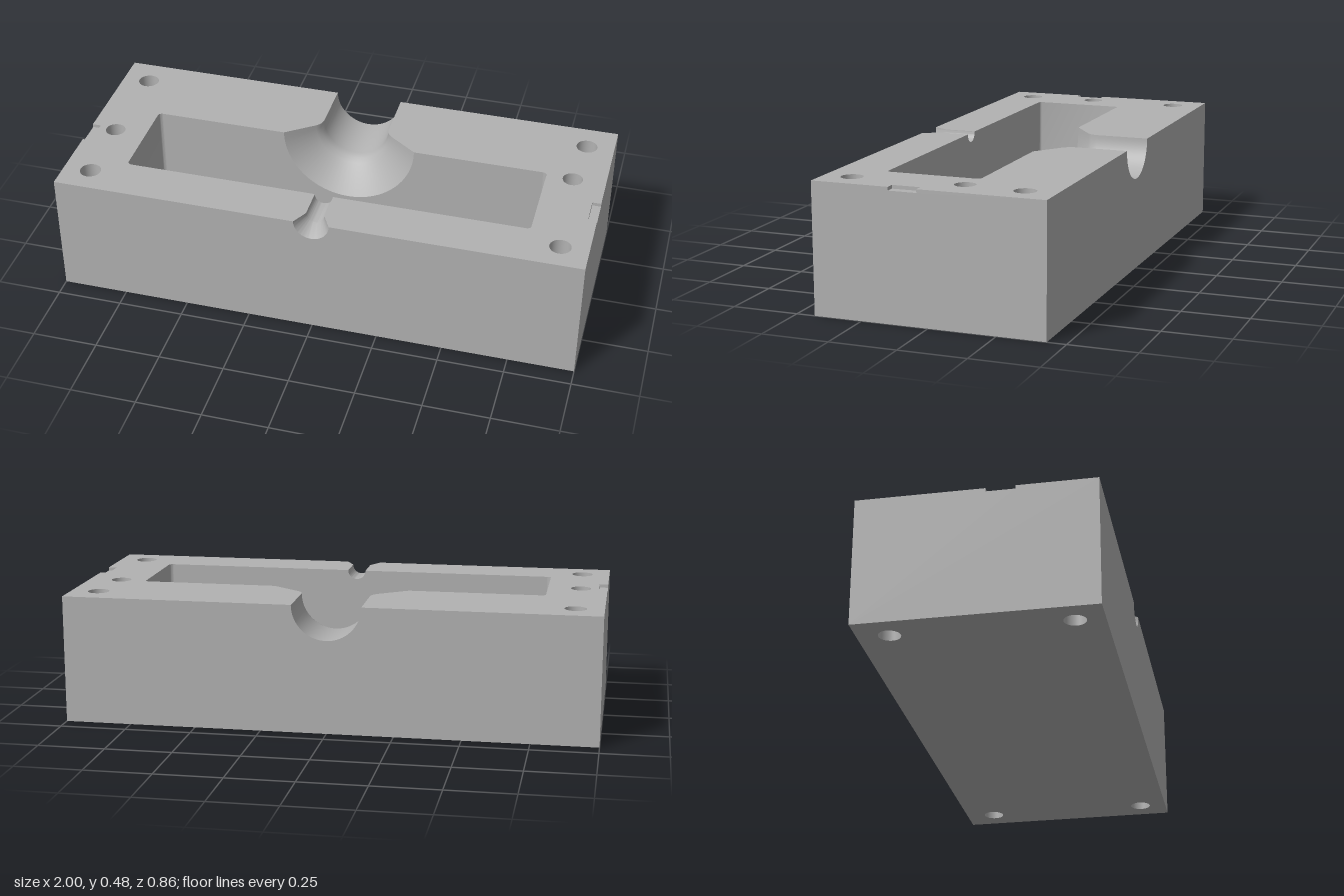
import * as THREE from 'three';
import { toCreasedNormals } from 'three/addons/utils/BufferGeometryUtils.js';

const H = 0.483, D = 0.43;                       // block height, half depth
const CAV = { x: 0.775, back: -0.105, front: 0.25, depth: 0.36, fillet: 0.09, edge: 0.015 };
const NECK = [[0.13, -D], [0.13, -0.225], [0.137, -0.2], [0.152, -0.184], [0.26, CAV.back]]; // radius, z
const VENT = [[0.035, CAV.front], [0.035, 0.37], [0.067, D]];
const REC = { z0: 0.035, z1: 0.14, depth: 0.013, inset: 0.033 };
const BOLTS = [[-0.895, -0.315], [0.895, -0.315], [-0.895, 0.325], [0.895, 0.325]];
const PINS = [[-0.9, 0.047], [0.875, -0.09]];

// half circle hanging below the parting plane, from +x to -x
function halfArc(r, n = 32) {
  return Array.from({ length: n + 1 }, (_, i) => {
    const a = Math.PI * i / n;
    return [r * Math.cos(a), H - r * Math.sin(a)];
  });
}

// cavity cross-section shrunk by d, from +x to -x
function cavitySection(d) {
  const r = CAV.fillet - d, x = CAV.x - d - r, y = H - CAV.depth + d + r, pts = [];
  for (let i = 0; i <= 10; i++) {
    const a = Math.PI / 2 * i / 10;
    pts.push([x + r * Math.cos(a), y - r * Math.sin(a)]);
  }
  const right = [[CAV.x - d, H], ...pts];
  return [...right, ...right.map(([px, py]) => [-px, py]).reverse()];
}

// cavity stations [inset, z] from back to front, with rounded edges
function cavityStations() {
  const list = [], e = CAV.edge;
  for (let i = 0; i <= 5; i++) {
    const a = Math.PI / 2 * i / 5;
    list.push([e * (1 - Math.sin(a)), CAV.back + e * (1 - Math.cos(a))]);
  }
  const mid = CAV.front + CAV.back;
  return [...list, ...list.map(([d, z]) => [d, mid - z]).reverse()];
}

// skin between open cross-sections [{ z, pts }]
function loft(sections, crease = 0.6) {
  const pos = [];
  for (let i = 0; i < sections.length - 1; i++) {
    const s = sections[i], t = sections[i + 1];
    for (let j = 0; j < s.pts.length - 1; j++) {
      const a = [...s.pts[j], s.z], b = [...s.pts[j + 1], s.z];
      const c = [...t.pts[j], t.z], d = [...t.pts[j + 1], t.z];
      pos.push(...a, ...b, ...c, ...b, ...d, ...c);
    }
  }
  const g = new THREE.BufferGeometry();
  g.setAttribute('position', new THREE.Float32BufferAttribute(pos, 3));
  return toCreasedNormals(g, crease);
}

function face(points, holes = []) {
  const shape = new THREE.Shape(points.map(([x, y]) => new THREE.Vector2(x, y)));
  for (const [x, y, r] of holes) {
    shape.holes.push(new THREE.Path().absarc(x, y, r, 0, Math.PI * 2, true));
  }
  return new THREE.ShapeGeometry(shape, 16);
}

export function createModel() {
  const group = new THREE.Group();
  const steel = new THREE.MeshStandardMaterial({ color: 0xb2b2b2, side: THREE.DoubleSide });
  steel.name = 'steel grey';
  const add = (name, geometry) => {
    const mesh = new THREE.Mesh(geometry, steel);
    mesh.name = name;
    group.add(mesh);
    return mesh;
  };
  const stations = cavityStations();

  // parting face, one half on each side of the channels
  for (const s of [-1, 1]) {
    const edge = [
      ...NECK,
      ...stations.map(([d, z]) => [CAV.x - d, z]),
      ...VENT,
      [1, D], [1, REC.z1], [1 - REC.inset, REC.z1], [1 - REC.inset, REC.z0], [1, REC.z0], [1, -D],
    ].map(([x, z]) => [s * x, -z]);
    const holes = [...BOLTS.map(p => [...p, 0.04]), ...PINS.map(p => [...p, 0.038])]
      .filter(([x]) => x * s > 0).map(([x, z, r]) => [x, -z, r]);
    add(s < 0 ? 'rightPartingFace' : 'leftPartingFace', face(edge, holes).rotateX(-Math.PI / 2).translate(0, H, 0));
  }

  // outer walls and base
  const wall = r => face([[-1, 0], [1, 0], [1, H], ...halfArc(r), [-1, H]]);
  add('frontWall', wall(VENT[2][0]).translate(0, 0, D));
  add('backWall', wall(NECK[0][0]).rotateY(Math.PI).translate(0, 0, -D));
  add('base', face([[-1, -D], [1, -D], [1, D], [-1, D]], BOLTS.map(p => [...p, 0.04])).rotateX(Math.PI / 2));

  // end walls with a shallow pry recess in the top edge
  for (const s of [-1, 1]) {
    const y = H - REC.depth;
    const recess = [[REC.z1, H], [REC.z1, y], [REC.z0, y], [REC.z0, H]].map(([z, h]) => [-s * z, h]);
    const path = s > 0 ? [...recess].reverse() : recess;
    const side = s > 0 ? 'left' : 'right';
    add(side + 'EndWall', face([[-D, 0], [D, 0], [D, H], ...path, [-D, H]]).translate(0, 0, 1).rotateY(s * Math.PI / 2));
    add(side + 'PryRecess', loft([{ z: 1 - REC.inset, pts: path }, { z: 1, pts: path }]).rotateY(s * Math.PI / 2));
    add(side + 'PryRecessBack', face(path).translate(0, 0, 1 - REC.inset).rotateY(s * Math.PI / 2));
  }

  // main cavity
  add('cavity', loft(stations.map(([d, z]) => ({ z, pts: cavitySection(d) }))));
  const cavityEnd = r => face([...cavitySection(CAV.edge), ...halfArc(r).reverse()]);
  add('cavityBackWall', cavityEnd(NECK[4][0]).translate(0, 0, CAV.back));
  add('cavityFrontWall', cavityEnd(VENT[0][0]).rotateY(Math.PI).translate(0, 0, CAV.front));

  // flared neck channel at the back, small vent channel at the front
  const channel = profile => loft(profile.map(([r, z]) => ({ z, pts: halfArc(r) })), 0.5);
  add('neckChannel', channel(NECK));
  add('ventChannel', channel(VENT));

  // bolt holes run right through
  for (const [x, z] of BOLTS) {
    add('boltHole', new THREE.CylinderGeometry(0.04, 0.04, H, 32, 1, true)).position.set(x, H / 2, z);
  }
  // blind alignment holes
  for (const [x, z] of PINS) {
    add('alignmentHole', new THREE.CylinderGeometry(0.038, 0.038, 0.1, 32, 1, true)).position.set(x, H - 0.05, z);
    add('alignmentHoleFloor', new THREE.CircleGeometry(0.038, 32).rotateX(-Math.PI / 2)).position.set(x, H - 0.1, z);
  }
  return group;
}
